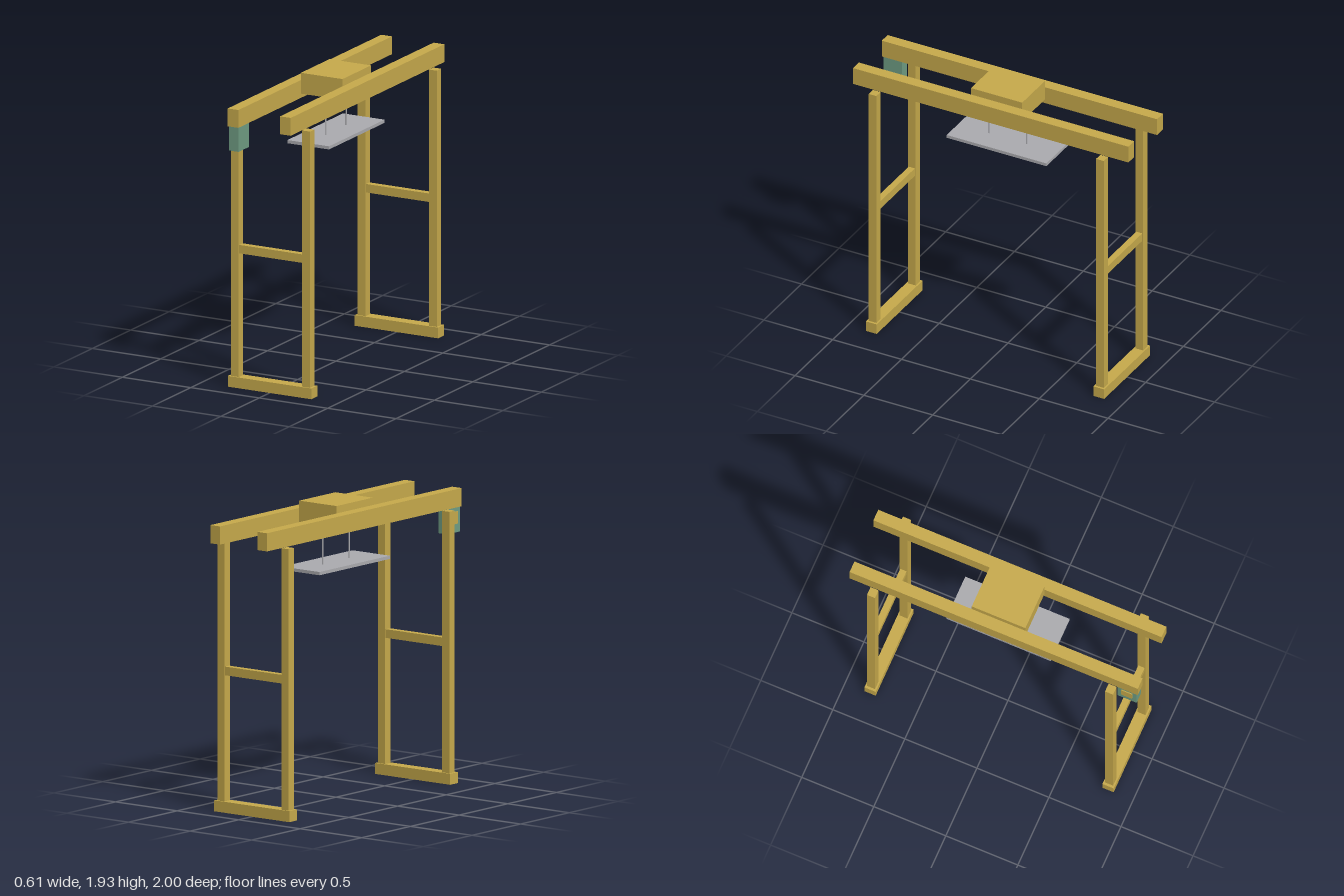
import * as THREE from 'three';

const material = (name, color) => {
  const m = new THREE.MeshStandardMaterial({ color });
  m.name = name;
  return m;
};

export function createModel() {
  const timber = material('ochre', 0xc8ab4c);
  const steel = material('grey', 0xacacb0);
  const green = material('green', 0x709e84);
  const model = new THREE.Group();
  model.name = 'overheadRailFrame';

  // Box given by its min and max extents on each axis
  const box = (parent, name, mat, [x0, x1], [y0, y1], [z0, z1]) => {
    const mesh = new THREE.Mesh(new THREE.BoxGeometry(x1 - x0, y1 - y0, z1 - z0), mat);
    mesh.position.set((x0 + x1) / 2, (y0 + y1) / 2, (z0 + z1) / 2);
    mesh.name = name;
    parent.add(mesh);
  };

  // Front and back support frames
  for (const [side, s] of [['front', 1], ['back', -1]]) {
    const frame = new THREE.Group();
    frame.name = side + 'Frame';
    frame.position.z = s * 0.826;
    box(frame, 'foot', timber, [-0.305, 0.305], [0, 0.071], [-0.039, 0.039]);
    box(frame, 'crossbar', timber, [-0.232, 0.232], [0.888, 0.944], [-0.022, 0.022]);
    box(frame, 'rightPost', timber, [-0.289, -0.232], [0.071, 1.766], [-0.028, 0.028]);
    box(frame, 'leftPost', timber, [0.232, 0.289], [0.071, 1.766], [-0.028, 0.028]);
    model.add(frame);
  }

  // Two long rails
  box(model, 'rightRail', timber, [-0.23, -0.152], [1.766, 1.884], [-1, 1]);
  box(model, 'leftRail', timber, [0.152, 0.23], [1.766, 1.884], [-1, 1]);

  // Carriage between the rails, with a platform hung on two rods
  box(model, 'carriage', timber, [-0.152, 0.152], [1.794, 1.932], [-0.186, 0.186]);
  box(model, 'platform', steel, [-0.152, 0.152], [1.509, 1.53], [-0.362, 0.362]);
  for (const z of [-0.136, 0.136]) {
    const rod = new THREE.Mesh(new THREE.CylinderGeometry(0.005, 0.005, 0.28, 12), steel);
    rod.position.set(0, 1.66, z);
    rod.name = 'hangerRod';
    model.add(rod);
  }

  // Control box under the right rail, with a thin side plate
  box(model, 'controlBox', green, [-0.226, -0.156], [1.604, 1.766], [0.856, 0.99]);
  box(model, 'controlPlate', timber, [-0.232, -0.226], [1.66, 1.74], [0.885, 0.96]);

  return model;
}
